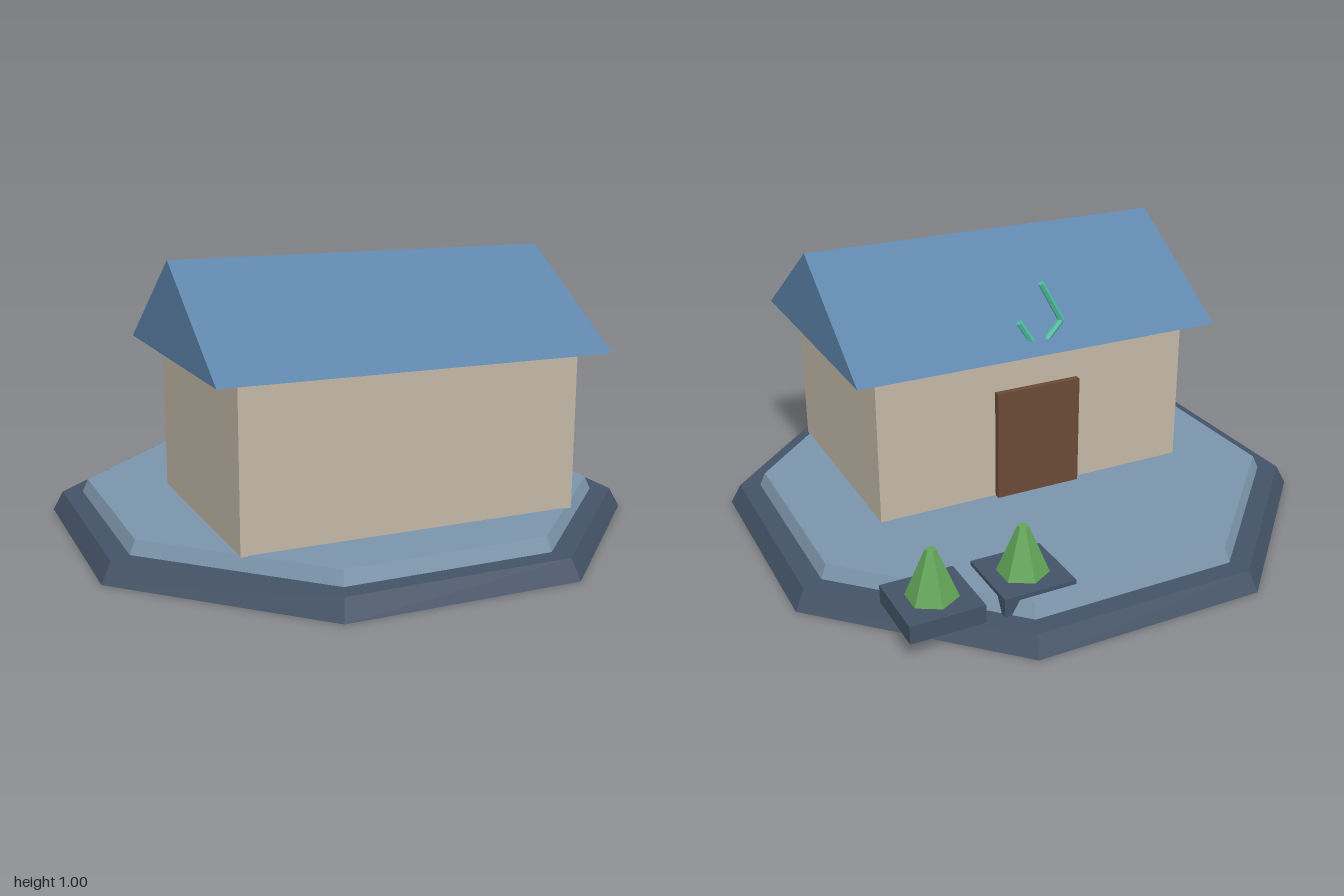
import * as THREE from 'three';

const mat = (name, color) => {
  const m = new THREE.MeshStandardMaterial({ color });
  m.name = name;
  m.flatShading = true;
  return m;
};

export function createModel() {
  const model = new THREE.Group();
  const slate = mat('darkSlate', 0x435266);
  const stone = mat('paleStone', 0x7b94aa);
  const plaster = mat('plaster', 0xc2b7a6);
  const roofBlue = mat('roofBlue', 0x5d84ab);
  const wood = mat('doorWood', 0x6b4a36);
  const leaf = mat('leafGreen', 0x61a457);
  const teal = mat('signTeal', 0x4fbda3);

  const add = (name, geometry, material, x, y, z) => {
    const mesh = new THREE.Mesh(geometry, material);
    mesh.name = name;
    mesh.position.set(x, y, z);
    model.add(mesh);
    return mesh;
  };

  // Box given by its lower and upper corners
  const addBox = (name, material, [x0, y0, z0], [x1, y1, z1]) =>
    add(name, new THREE.BoxGeometry(x1 - x0, y1 - y0, z1 - z0), material,
      (x0 + x1) / 2, (y0 + y1) / 2, (z0 + z1) / 2);

  // Tapered octagon with flat sides facing the axes, sized by its half width
  const addOctagon = (name, material, bottom, top, y0, y1) => {
    const k = 1 / Math.cos(Math.PI / 8);
    const g = new THREE.CylinderGeometry(top * k, bottom * k, y1 - y0, 8);
    g.rotateY(Math.PI / 8);
    add(name, g, material, 0, (y0 + y1) / 2, 0);
  };

  addOctagon('islandBase', slate, 1, 0.965, 0, 0.07);
  addOctagon('islandTop', stone, 0.895, 0.875, 0.07, 0.118);

  // House
  addBox('walls', plaster, [-0.613, 0.115, -0.19], [0.613, 0.675, 0.65]);
  addBox('door', wood, [-0.165, 0.118, -0.215], [0.165, 0.53, -0.185]);

  // Gable roof: triangle profile in z and y, swept along x
  const gable = new THREE.Shape([
    new THREE.Vector2(-0.5, 0), new THREE.Vector2(0.5, 0), new THREE.Vector2(0, 0.328),
  ]);
  const roof = new THREE.ExtrudeGeometry(gable, { depth: 1.405, bevelEnabled: false });
  roof.translate(0, 0, -0.7025);
  roof.rotateY(Math.PI / 2);
  add('roof', roof, roofBlue, 0, 0.674, 0.224);

  // Angular tube sign above the door
  const rods = [
    [[-0.004, 0.917], [-0.086, 0.77]],
    [[-0.086, 0.77], [-0.004, 0.68]],
    [[0.08, 0.785], [0.014, 0.68]],
  ];
  rods.forEach(([a, b]) => {
    const dx = b[0] - a[0], dy = b[1] - a[1];
    const rod = add('signRod', new THREE.CylinderGeometry(0.012, 0.012, Math.hypot(dx, dy), 6),
      teal, (a[0] + b[0]) / 2, (a[1] + b[1]) / 2, -0.212);
    rod.rotation.z = Math.atan2(-dx, dy);
  });

  // Planter slabs with clipped trees
  for (const x of [0.322, 0.642]) {
    addBox('planter', slate, [x - 0.128, 0.07, -0.84], [x + 0.128, 0.133, -0.584]);
    add('tree', new THREE.CylinderGeometry(0.018, 0.088, 0.167, 6), leaf, x, 0.2165, -0.712);
  }

  return model;
}
